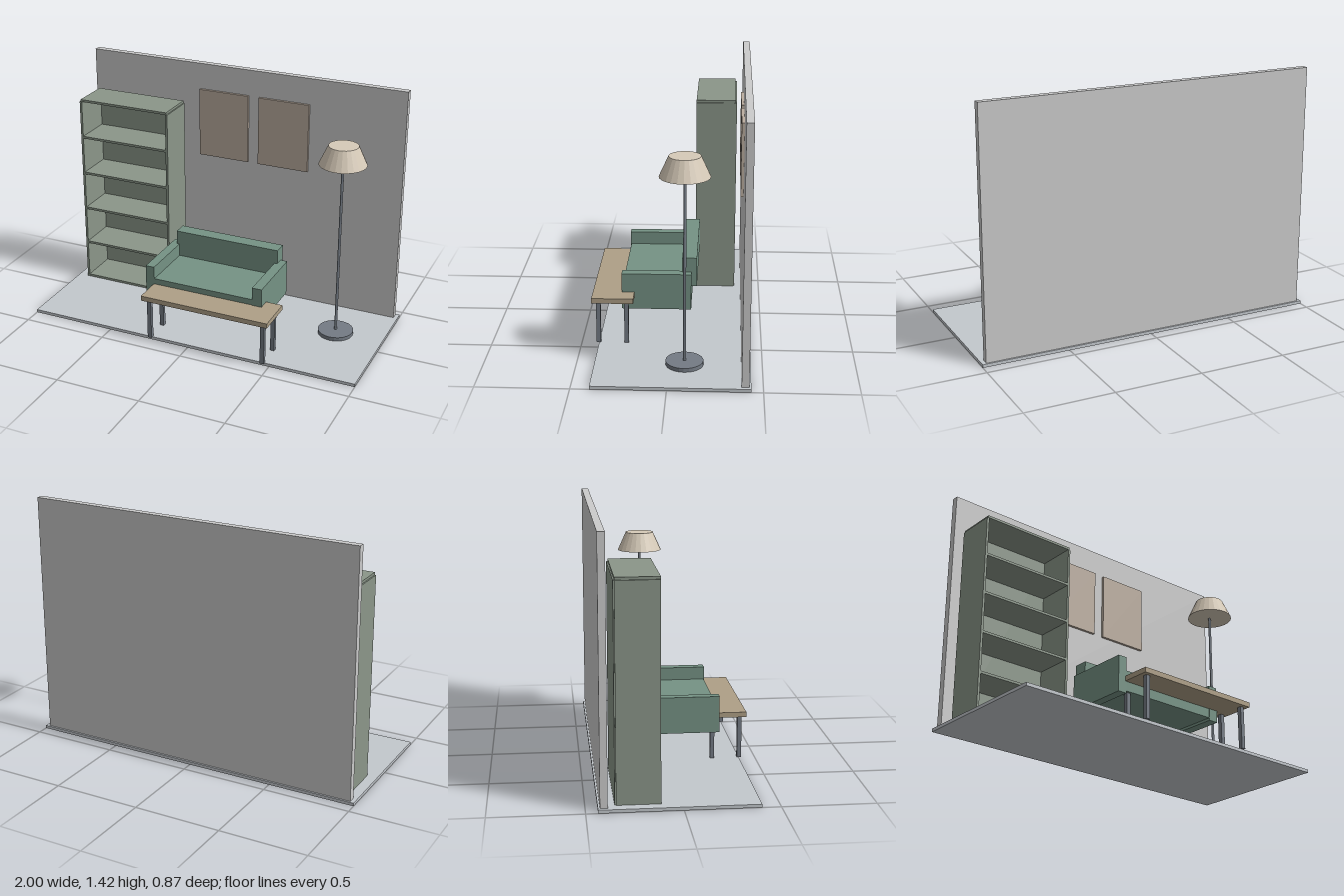
import * as THREE from 'three';

const paint = (color) => new THREE.MeshStandardMaterial({ color, flatShading: true });
const MAT = {
  floor: paint(0xc3c8cd), wall: paint(0xc8cccc), shelf: paint(0x8b9689), sofa: paint(0x759284),
  wood: paint(0xae9f86), metal: paint(0x747b84), shade: paint(0xd6cab8), picture: paint(0xbcaea0),
};

// Box given by its [min, max] extent on each axis
function box(parent, name, mat, [x0, x1], [y0, y1], [z0, z1]) {
  const mesh = new THREE.Mesh(new THREE.BoxGeometry(x1 - x0, y1 - y0, z1 - z0), mat);
  mesh.position.set((x0 + x1) / 2, (y0 + y1) / 2, (z0 + z1) / 2);
  mesh.name = name;
  parent.add(mesh);
}

// Upright round part standing between y0 and y1
function round(parent, name, mat, rTop, rBottom, y0, y1, sides) {
  const mesh = new THREE.Mesh(new THREE.CylinderGeometry(rTop, rBottom, y1 - y0, sides), mat);
  mesh.position.y = (y0 + y1) / 2;
  mesh.name = name;
  parent.add(mesh);
}

function group(parent, name) {
  const g = new THREE.Group();
  g.name = name;
  parent.add(g);
  return g;
}

export function createModel() {
  const room = new THREE.Group();
  room.name = 'livingRoom';
  const ground = 0.018;

  // Room shell
  box(room, 'floor', MAT.floor, [-1, 1], [0, ground], [-0.437, 0.4]);
  box(room, 'backWall', MAT.wall, [-0.977, 0.977], [ground, 1.425], [-0.427, -0.387]);

  // Bookcase: two sides, a thin back and six evenly spaced boards
  const bookcase = group(room, 'bookcase');
  const depth = [-0.343, -0.112];
  box(bookcase, 'sidePanel', MAT.shelf, [-0.942, -0.928], [ground, 1.18], depth);
  box(bookcase, 'sidePanel', MAT.shelf, [-0.377, -0.363], [ground, 1.18], depth);
  box(bookcase, 'backPanel', MAT.shelf, [-0.935, -0.37], [ground, 1.18], [-0.35, -0.341]);
  for (let i = 0; i < 6; i++) {
    const y = 0.025 + i * 0.2325;
    const x = i === 5 ? [-0.935, -0.37] : [-0.928, -0.377];
    box(bookcase, 'shelfBoard', MAT.shelf, x, [y - 0.007, y + 0.007], depth);
  }

  // Sofa
  const sofa = group(room, 'sofa');
  box(sofa, 'seat', MAT.sofa, [-0.267, 0.342], [0.208, 0.325], [-0.108, 0.274]);
  box(sofa, 'backrest', MAT.sofa, [-0.283, 0.36], [0.318, 0.483], [-0.138, -0.056]);
  box(sofa, 'armrest', MAT.sofa, [-0.32, -0.267], [0.193, 0.4], [-0.108, 0.277]);
  box(sofa, 'armrest', MAT.sofa, [0.342, 0.4], [0.193, 0.4], [-0.108, 0.277]);

  // Coffee table
  const table = group(room, 'coffeeTable');
  box(table, 'tableTop', MAT.wood, [-0.272, 0.498], [0.262, 0.291], [0.207, 0.437]);
  for (const x of [-0.234, 0.462])
    for (const z of [0.247, 0.402])
      box(table, 'tableLeg', MAT.metal, [x - 0.012, x + 0.012], [ground, 0.262], [z - 0.012, z + 0.012]);

  // Floor lamp
  const lamp = group(room, 'floorLamp');
  lamp.position.set(0.72, 0, -0.083);
  round(lamp, 'lampBase', MAT.metal, 0.102, 0.102, ground, 0.04, 24);
  round(lamp, 'lampPole', MAT.metal, 0.008, 0.008, 0.04, 1.09, 12);
  round(lamp, 'lampShade', MAT.shade, 0.084, 0.134, 1.07, 1.18, 24);

  // Pictures on the wall
  for (const x of [-0.122, 0.254])
    box(room, 'picture', MAT.picture, [x - 0.155, x + 0.155], [0.86, 1.27], [-0.387, -0.371]);

  return room;
}
